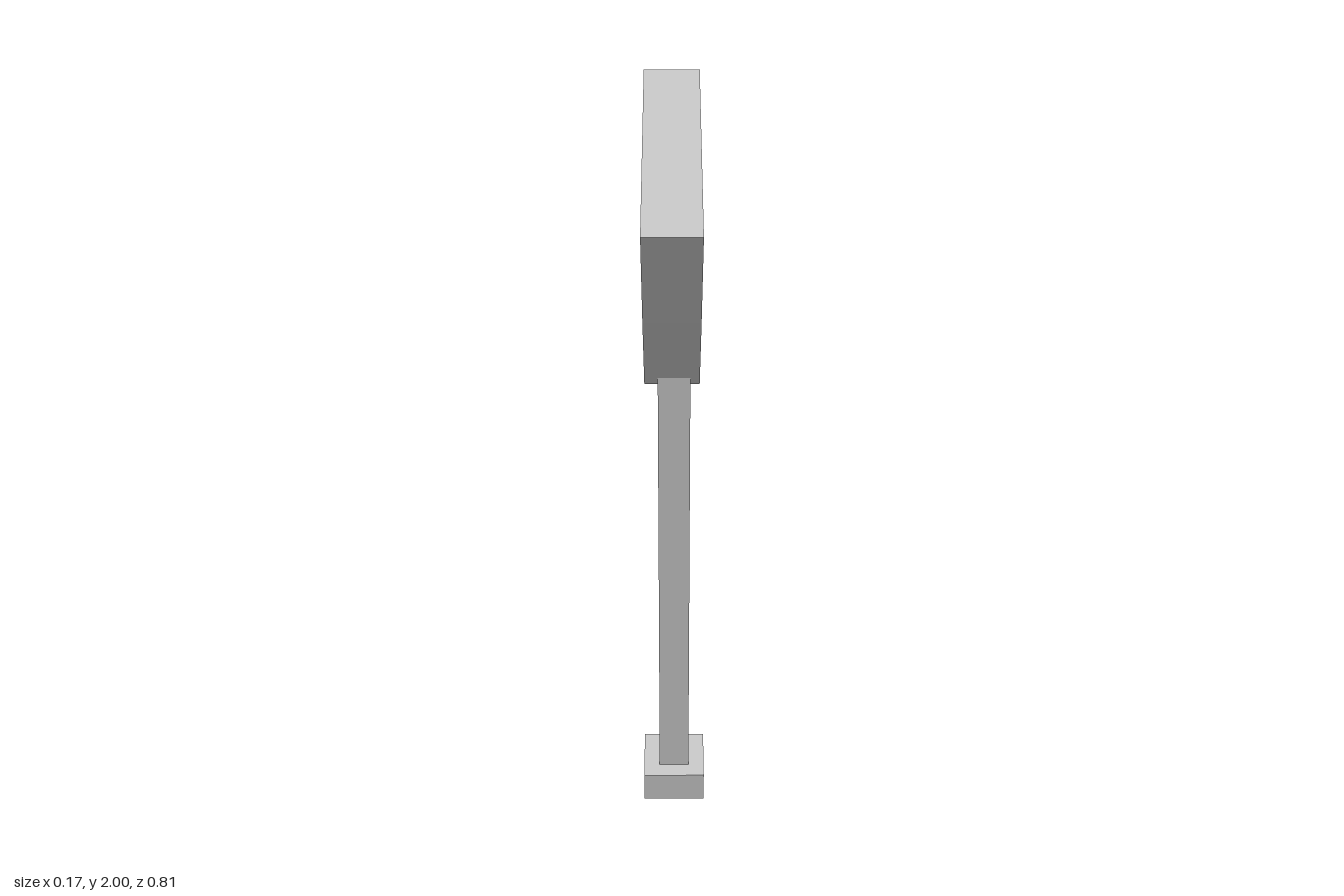
import * as THREE from 'three';

const material = new THREE.MeshStandardMaterial({ color: 0xcccccc, flatShading: true });

function addPart(group, name, geometry, x, y, z) {
  const mesh = new THREE.Mesh(geometry, material);
  mesh.name = name;
  mesh.position.set(x, y, z);
  group.add(mesh);
}

// Box standing on the given bottom height
function addBox(group, name, width, height, depth, x, bottom, z) {
  addPart(group, name, new THREE.BoxGeometry(width, height, depth), x, bottom + height / 2, z);
}

export function createModel() {
  const group = new THREE.Group();

  // Square foot and slim post
  addBox(group, 'base', 0.165, 0.09, 0.167, 0, 0, -0.021);
  addBox(group, 'post', 0.08, 1.41, 0.08, 0, 0.09, -0.02);

  // Downward triangular head with slightly bowed sides, extruded across x
  const profile = new THREE.Shape([
    [0, 1.355], [0.205, 1.66], [0.405, 2], [-0.405, 2], [-0.205, 1.66],
  ].map(([z, y]) => new THREE.Vector2(z, y)));
  const thickness = 0.136;
  const head = new THREE.ExtrudeGeometry(profile, { depth: thickness, bevelEnabled: false });
  head.translate(0, 0, -thickness / 2).rotateY(Math.PI / 2);
  addPart(group, 'triangularHead', head, -0.005, 0, 0);

  return group;
}
